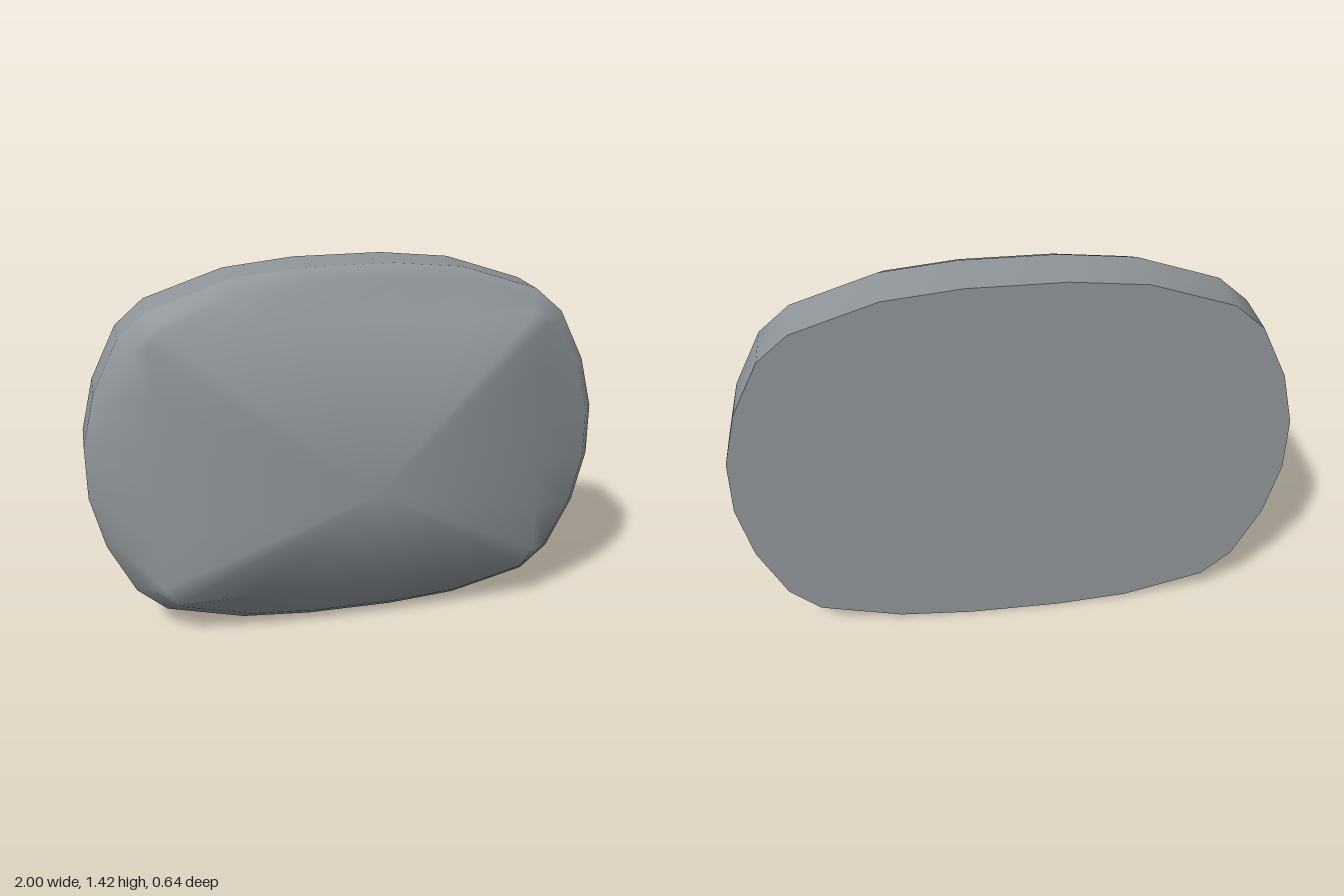
import * as THREE from 'three';

// Right half of the outline, bottom to top
const half = [
  [0.17, 0.003], [0.44, 0.02], [0.74, 0.095], [0.85, 0.19], [0.95, 0.39], [1, 0.595],
  [1, 0.8], [0.95, 1.0], [0.85, 1.2], [0.74, 1.295], [0.44, 1.395], [0.17, 1.423],
];
// Full loop, counter-clockwise seen from the front
const outline = [...half, ...half.slice().reverse().map(([x, y]) => [-x, y])];
outline[0][1] = outline[outline.length - 1][1] = 0;

// Surface through several loops of equal length, optionally closed with a tip
function loft(rings, tip) {
  const n = rings[0].length, index = [];
  const points = rings.flat();
  for (let r = 0; r < rings.length - 1; r++) {
    for (let i = 0; i < n; i++) {
      const a = r * n + i, b = r * n + (i + 1) % n;
      index.push(a, b, b + n, a, b + n, a + n);
    }
  }
  if (tip) {
    const base = (rings.length - 1) * n;
    for (let i = 0; i < n; i++) index.push(base + i, base + (i + 1) % n, points.length);
    points.push(tip);
  }
  const geometry = new THREE.BufferGeometry();
  geometry.setAttribute('position', new THREE.Float32BufferAttribute(points.flat(), 3));
  geometry.setIndex(index);
  geometry.computeVertexNormals();
  return geometry;
}

export function createModel() {
  const group = new THREE.Group();
  const grey = new THREE.MeshStandardMaterial({ color: 0x90969a });
  grey.name = 'grey';
  const add = (name, geometry) => {
    const mesh = new THREE.Mesh(geometry, grey);
    mesh.name = name;
    group.add(mesh);
  };

  const backRing = outline.map(([x, y]) => [x, y, -0.32]);
  const rimRing = outline.map(([x, y]) => [x, y, -0.12]);
  const bevelRing = outline.map(([x, y]) => [x * 0.95, 0.72 + (y - 0.7115) * 0.94, -0.045]);
  // Nearly rectangular foot of the pyramid
  const footRing = bevelRing.map(([x, y]) => [
    THREE.MathUtils.clamp(x, -0.75, 0.75), THREE.MathUtils.clamp(y, 0.16, 1.23), -0.02,
  ]);

  // Straight side wall
  add('sideWall', loft([backRing, rimRing]));
  // Bevel, shoulder and pointed front in one smooth surface
  add('pointedFront', loft([rimRing, bevelRing, footRing], [0, 0.695, 0.32]));
  // Flat back, turned to face -z
  const back = new THREE.ShapeGeometry(new THREE.Shape(outline.map(([x, y]) => new THREE.Vector2(-x, y))));
  back.rotateY(Math.PI).translate(0, 0, -0.32);
  add('flatBack', back);
  return group;
}
